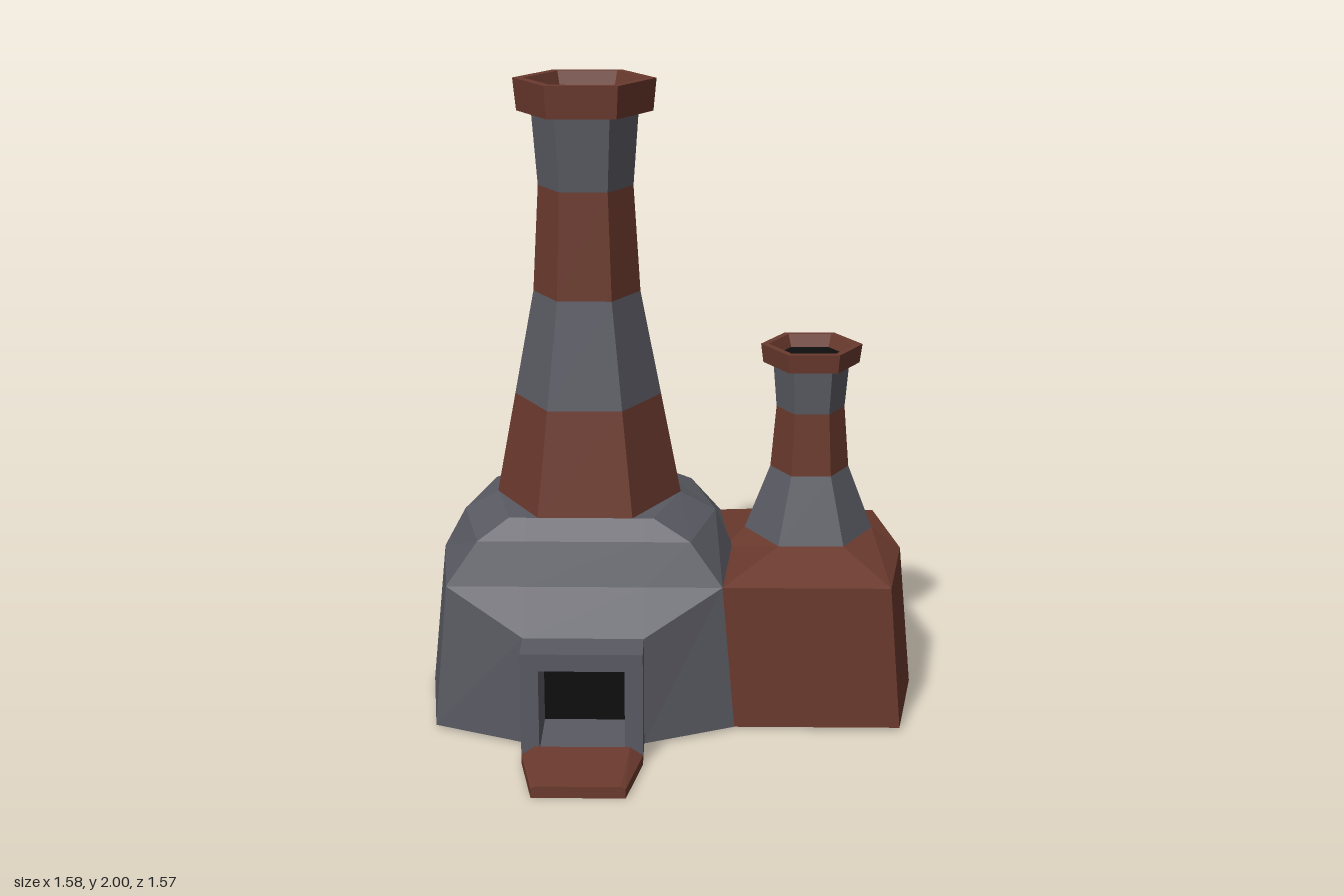
import * as THREE from 'three';

const material = (color, side = THREE.FrontSide) =>
  new THREE.MeshStandardMaterial({ color, flatShading: true, side });
const STONE = material(0x5a5a63);
const BRICK = material(0x6b3a2e);
const BLACK = material(0x0e0e0e);

const CZ = -0.025; // shared centre line of both stacks

// Skin over closed rings of [x, y, z]; rings run left, front, right, back.
function loft(name, rings, mat, { bottom = false, top = false, skip = () => false } = {}) {
  const pos = [];
  const tri = (a, b, c) => pos.push(...a, ...b, ...c);
  const n = rings[0].length;
  for (let r = 0; r < rings.length - 1; r++) {
    for (let i = 0; i < n; i++) {
      if (skip(r, i)) continue;
      const j = (i + 1) % n;
      const [lo, hi] = [rings[r], rings[r + 1]];
      tri(lo[i], lo[j], hi[j]);
      tri(lo[i], hi[j], hi[i]);
    }
  }
  const cap = (ring, up) => {
    const c = [0, 1, 2].map(k => ring.reduce((s, p) => s + p[k], 0) / n);
    ring.forEach((p, i) => {
      const q = ring[(i + 1) % n];
      if (up) tri(c, p, q); else tri(c, q, p);
    });
  };
  if (bottom) cap(rings[0], false);
  if (top) cap(rings[rings.length - 1], true);
  const geo = new THREE.BufferGeometry();
  geo.setAttribute('position', new THREE.Float32BufferAttribute(pos, 3));
  geo.computeVertexNormals();
  const mesh = new THREE.Mesh(geo, mat);
  mesh.name = name;
  return mesh;
}

// Regular hexagon with points toward +x and -x
function hex(x, y, r) {
  return Array.from({ length: 6 }, (_, i) => {
    const a = Math.PI + i * Math.PI / 3;
    return [x + r * Math.cos(a), y, CZ - r * Math.sin(a)];
  });
}

// Banded chimney with a hollow rim; profile is a list of [y, radius]
function chimney(name, x, profile, firstMat, rim) {
  const g = new THREE.Group();
  g.name = name;
  for (let i = 0; i < profile.length - 1; i++) {
    const mat = (i % 2 === 0) === (firstMat === BRICK) ? BRICK : STONE;
    g.add(loft('band' + (i + 1), [profile[i], profile[i + 1]].map(([y, r]) => hex(x, y, r)), mat));
  }
  const [y, r] = profile[profile.length - 1];
  const floorY = y + rim.height * 0.35;
  g.add(loft('rimUnderside', [hex(x, y, r), hex(x, y, rim.low)], STONE));
  g.add(loft('rim', [hex(x, y, rim.low), hex(x, y + rim.height, rim.outer),
    hex(x, y + rim.height, rim.inner), hex(x, floorY, r)], BRICK));
  g.add(loft('flueHole', [hex(x, floorY - 0.01, r), hex(x, floorY, r)], BLACK, { top: true }));
  return g;
}

// Doorway with a deep opening and a ramp, facing local +z
function doorway(name, width, height, front) {
  const g = new THREE.Group();
  g.name = name;
  const w = width / 2, o = 0.13, depth = 0.23;

  const shape = new THREE.Shape([[-w, 0.01], [w, 0.01], [w, height], [-w, height]]
    .map(p => new THREE.Vector2(...p)));
  shape.holes.push(new THREE.Path([[-o, 0.04], [-o, 0.305], [o, 0.305], [o, 0.04]]
    .map(p => new THREE.Vector2(...p))));
  const frame = new THREE.Mesh(
    new THREE.ExtrudeGeometry(shape, { depth, bevelEnabled: false }), STONE);
  frame.name = 'doorFrame';
  frame.position.z = front - depth;
  g.add(frame);

  const dark = new THREE.Mesh(new THREE.PlaneGeometry(2 * o, 0.265), BLACK);
  dark.name = 'doorDarkness';
  dark.position.set(0, 0.1725, front - depth + 0.005);
  g.add(dark);

  // Ramp: wedge narrowing away from the door
  const end = 0.787;
  const rect = (y, nearHalf, farHalf, drop) => [
    [-nearHalf, y, front], [-farHalf, y - drop, end], [farHalf, y - drop, end], [nearHalf, y, front]];
  g.add(loft('ramp', [rect(0, w, 0.14, 0), rect(0.03, w, 0.14, 0), rect(0.057, 0.145, 0.125, 0.02)],
    BRICK, { bottom: true, top: true }));
  return g;
}

// One ten-point ring of the main hall, with two points at each doorway
function hallRing(y, tipL, tipR, cornerL, cornerR, zFront, zBack, door) {
  const f = door ? [door.yF, door.zF] : [y, zFront];
  const b = door ? [door.yB, door.zB] : [y, zBack];
  const inset = x => Math.min(Math.max(x, cornerL), cornerR);
  return [
    [tipL, y, CZ], [cornerL, y, zFront],
    [inset(-0.45), ...f], [inset(-0.08), ...f],
    [cornerR, y, zFront], [tipR, y, CZ], [cornerR, y, zBack],
    [inset(-0.115), ...b], [inset(-0.47), ...b],
    [cornerL, y, zBack]];
}

export function createModel() {
  const model = new THREE.Group();
  model.name = 'factory';

  // Main hall: walls, sloped door hoods, shoulders; wall openings left at the doorways
  const zF = 0.45, zB = -0.47;
  model.add(loft('mainHall', [
    hallRing(0.01, -0.79, 0.25, -0.74, 0.20, 0.33, -0.38, { yF: 0.01, yB: 0.01, zF, zB }),
    hallRing(0.48, -0.74, 0.20, -0.695, 0.16, 0.33, -0.38, { yF: 0.36, yB: 0.355, zF, zB }),
    hallRing(0.48, -0.74, 0.20, -0.695, 0.16, 0.33, -0.38),
    hallRing(0.61, -0.67, 0.14, -0.60, 0.06, 0.28, -0.33),
    hallRing(0.67, -0.56, 0.025, -0.505, -0.055, 0.23, -0.28),
  ], STONE, { bottom: true, top: true, skip: (r, i) => r === 0 && (i === 2 || i === 7) }));

  // Side annex with a low hipped roof up to the small chimney
  const annexRing = (y, tipL, cornerL, cornerR, tipR) => [
    [tipL, y, CZ], [cornerL, y, 0.33], [cornerR, y, 0.33],
    [tipR, y, CZ], [cornerR, y, -0.38], [cornerL, y, -0.38]];
  const base = annexRing(0.01, 0.19, 0.20, 0.72, 0.785);
  model.add(loft('annex', [base, annexRing(0.48, 0.17, 0.16, 0.68, 0.74), hex(0.44, 0.55, 0.205)], BRICK));
  model.add(loft('annexFloor', [base, base], STONE, { bottom: true }));

  // Chimneys
  model.add(chimney('tallChimney', -0.268,
    [[0.67, 0.295], [1.0, 0.232], [1.335, 0.168], [1.67, 0.148], [1.9, 0.165]],
    BRICK, { height: 0.1, low: 0.21, outer: 0.22, inner: 0.187 }));
  model.add(chimney('shortChimney', 0.44,
    [[0.55, 0.205], [0.76, 0.125], [0.96, 0.108], [1.105, 0.12]],
    STONE, { height: 0.06, low: 0.152, outer: 0.16, inner: 0.136 }));

  // Doorways front and back
  const frontDoor = doorway('frontDoorway', 0.37, 0.36, 0.57);
  frontDoor.position.x = -0.265;
  const backDoor = doorway('backDoorway', 0.355, 0.355, 0.585);
  backDoor.position.x = -0.2925;
  backDoor.rotation.y = Math.PI;
  model.add(frontDoor, backDoor);

  return model;
}
